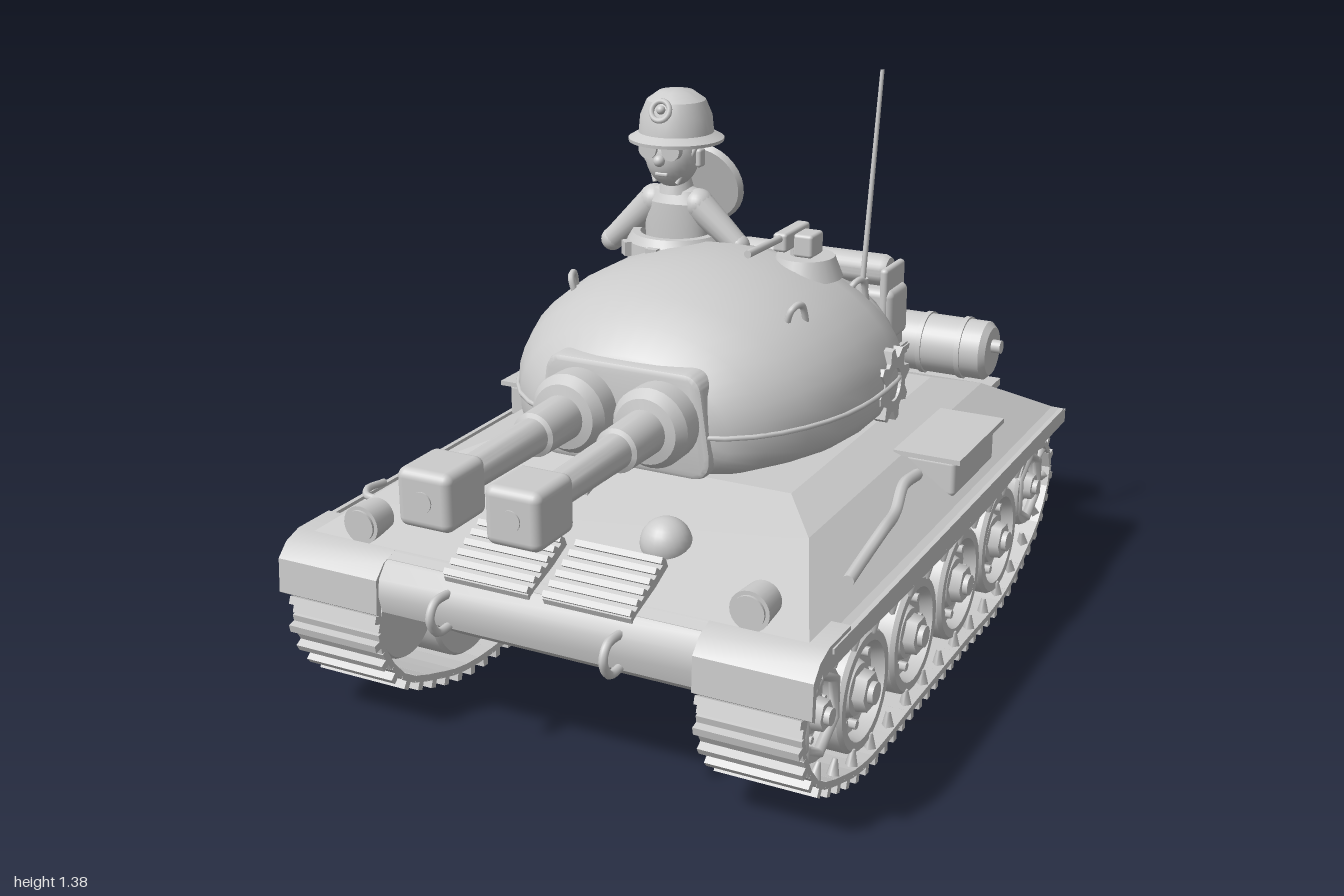
import * as THREE from 'three';
import { toCreasedNormals } from 'three/addons/utils/BufferGeometryUtils.js';
import { RoundedBoxGeometry } from 'three/addons/geometries/RoundedBoxGeometry.js';

const grey = new THREE.MeshStandardMaterial({ color: 0xcccccc, side: THREE.DoubleSide });
grey.name = 'plain grey';
const V = (x, y, z) => new THREE.Vector3(x, y, z);

function add(parent, name, geo, pos = [0, 0, 0], rot = [0, 0, 0]) {
  const m = new THREE.Mesh(geo, grey);
  m.name = name;
  m.position.set(...pos);
  m.rotation.set(...rot);
  parent.add(m);
  return m;
}
const box = (w, h, d) => new THREE.BoxGeometry(w, h, d);
const rbox = (w, h, d, r) => new RoundedBoxGeometry(w, h, d, 3, r);
const cyl = (r1, r2, h, n = 24) => new THREE.CylinderGeometry(r1, r2, h, n);
const ball = (r) => new THREE.SphereGeometry(r, 24, 16);

// tapered rod between two points
function rod(parent, name, a, b, r1, r2 = r1) {
  const d = b.clone().sub(a);
  const m = add(parent, name, cyl(r2, r1, d.length(), 16));
  m.position.copy(a).addScaledVector(d, 0.5);
  m.quaternion.setFromUnitVectors(V(0, 1, 0), d.normalize());
  return m;
}
function tube(parent, name, pts, r, closed = false) {
  const c = new THREE.CatmullRomCurve3(pts.map((p) => V(...p)), closed);
  return add(parent, name, new THREE.TubeGeometry(c, 48, r, 8, closed));
}
// skin over rings of points, each ring counter-clockwise seen from the last one
function loft(rings, crease) {
  const n = rings[0].length, pos = rings.flat(2), idx = [], last = (rings.length - 1) * n;
  for (let i = 0; i < rings.length - 1; i++) for (let j = 0; j < n; j++) {
    const a = i * n + j, b = i * n + (j + 1) % n;
    idx.push(a, b, b + n, a, b + n, a + n);
  }
  for (let j = 1; j < n - 1; j++) idx.push(0, j + 1, j, last, last + j, last + j + 1);
  const g = new THREE.BufferGeometry();
  g.setAttribute('position', new THREE.Float32BufferAttribute(pos, 3));
  g.setIndex(idx);
  return toCreasedNormals(g, crease);
}
// side profile of [z, y] points, extruded from x0 to x1
function sideExtrude(pts, x0, x1) {
  const s = new THREE.Shape(pts.map(([z, y]) => new THREE.Vector2(-z, y)));
  const g = new THREE.ExtrudeGeometry(s, { depth: x1 - x0, bevelEnabled: false });
  return toCreasedNormals(g.rotateY(Math.PI / 2).translate(x0, 0, 0), 0.6);
}
const lathe = (pts) => toCreasedNormals(
  new THREE.LatheGeometry(pts.map((p) => new THREE.Vector2(...p)), 32), 0.5);

function buildHull(g) {
  const levels = [[0.39, 0.65, -0.885, 0.74], [0.425, 0.65, -0.885, 0.74], [0.435, 0.62, -0.86, 0.74],
    [0.535, 0.48, -0.68, 0.43], [0.57, 0.38, -0.57, 0.3]];
  add(g, 'upperHull', loft(levels.map(([y, x, r, f]) => [[x, y, f], [x, y, r], [-x, y, r], [-x, y, f]]), 0.2));
  add(g, 'lowerHull', sideExtrude([[0.74, 0.4], [0.74, 0.31], [0.5, 0.15], [-0.62, 0.15], [-0.86, 0.34], [-0.86, 0.4]], -0.37, 0.37));
  add(g, 'nose', sideExtrude([[0.6, 0.45], [0.71, 0.445], [0.75, 0.43], [0.775, 0.4], [0.78, 0.36], [0.77, 0.32], [0.74, 0.31], [0.6, 0.33]], -0.385, 0.385));
  for (const s of [-1, 1]) {
    const x0 = s > 0 ? 0.385 : -0.65;
    add(g, 'frontMudguard', sideExtrude([[0.6, 0.445], [0.71, 0.445], [0.755, 0.43], [0.785, 0.4], [0.79, 0.32],
      [0.775, 0.31], [0.77, 0.38], [0.74, 0.4], [0.6, 0.4]], x0, x0 + 0.265));
    add(g, 'fenderRim', box(0.012, 0.012, 1.55), [s * 0.648, 0.43, -0.08]);
    // headlights, tow hooks
    add(g, 'headlight', cyl(0.045, 0.04, 0.07), [s * 0.475, 0.485, 0.675], [Math.PI / 2, 0, 0]);
    add(g, 'headlightGlass', cyl(0.036, 0.036, 0.008), [s * 0.475, 0.485, 0.712], [Math.PI / 2, 0, 0]);
    add(g, 'headlightFoot', box(0.03, 0.05, 0.03), [s * 0.475, 0.445, 0.67]);
    tube(g, 'towHook', [[s * 0.21, 0.4, 0.76], [s * 0.21, 0.4, 0.82], [s * 0.21, 0.37, 0.838], [s * 0.21, 0.33, 0.815], [s * 0.21, 0.325, 0.76]], 0.01);
    // fender stowage box with a lid
    add(g, 'stowageBox', rbox(0.15, 0.09, 0.28, 0.012), [s * 0.535, 0.49, -0.26]);
    add(g, 'stowageLid', box(0.165, 0.012, 0.32), [s * 0.543, 0.54, -0.265]);
    // slatted grille on the front slope
    const grille = new THREE.Group();
    grille.name = 'grille';
    grille.position.set(s * 0.123 + 0.005, 0.462, 0.68);
    grille.rotation.x = 0.42;
    add(grille, 'grilleFrame', box(0.21, 0.02, 0.17));
    for (let i = 0; i < 6; i++) add(grille, 'grilleSlat', box(0.21, 0.02, 0.014), [0, 0.014, -0.075 + i * 0.03], [0.5, 0, 0]);
    g.add(grille);
    // fuel drums on the rear bracket
    const cx = s * 0.245;
    const drum = [[0, -0.185], [0.065, -0.185], [0.08, -0.17], [0.08, 0.17], [0.065, 0.185], [0, 0.185]];
    add(g, 'fuelDrum', lathe(drum), [cx, 0.545, -0.915], [0, 0, Math.PI / 2]);
    for (const o of [-0.11, 0, 0.11]) add(g, 'drumBand', cyl(0.085, 0.085, 0.014, 32), [cx + o, 0.545, -0.915], [0, 0, Math.PI / 2]);
    add(g, 'drumCap', cyl(0.018, 0.018, 0.03), [s * 0.44, 0.56, -0.915], [0, 0, Math.PI / 2]);
    rod(g, 'exhaust', V(s * 0.26, 0.45, -0.8), V(s * 0.26, 0.39, -0.95), 0.025);
  }
  add(g, 'rearBracket', box(0.9, 0.02, 0.13), [0, 0.455, -0.87]);
  add(g, 'visorPlate', box(0.2, 0.02, 0.03), [-0.155, 0.542, 0.42]);
  add(g, 'hatchBar', box(0.08, 0.02, 0.03), [-0.18, 0.51, 0.55]);
  add(g, 'slopeDome', ball(0.057), [0.19, 0.505, 0.525]);
  tube(g, 'towCable', [[0.535, 0.51, -0.07], [0.535, 0.515, 0.02], [0.555, 0.49, 0.12], [0.575, 0.5, 0.24], [0.575, 0.48, 0.34], [0.58, 0.465, 0.45]], 0.014);
  tube(g, 'sideHook', [[-0.6, 0.47, 0.45], [-0.595, 0.48, 0.52], [-0.57, 0.48, 0.555], [-0.545, 0.48, 0.56]], 0.009);
}

function buildRunningGear(g, s) {
  const x = s * 0.508, turn = [0, 0, -s * Math.PI / 2];
  // dished road wheels, then the idler and the drive wheel
  const wheels = [[0.4, 0.19, 0.14], [0.1, 0.19, 0.14], [-0.205, 0.19, 0.14], [-0.495, 0.19, 0.14], [0.645, 0.255, 0.105], [-0.735, 0.25, 0.105]];
  wheels.forEach(([z, y, r], i) => {
    const w = new THREE.Group();
    w.name = i < 4 ? 'roadWheel' : i === 4 ? 'idlerWheel' : 'driveWheel';
    w.position.set(x, y, z);
    w.rotation.set(...turn);
    add(w, 'wheelBody', lathe([[0, -0.1], [r * 0.95, -0.1], [r, -0.09], [r, 0.09], [r * 0.95, 0.1], [r * 0.8, 0.1], [r * 0.74, 0.07], [r * 0.5, 0.06], [r * 0.42, 0.085], [0, 0.09]]));
    add(w, 'hubNut', cyl(r * 0.32, r * 0.35, 0.035, 6).toNonIndexed(), [0, 0.095, 0]);
    add(w, 'hubCap', cyl(r * 0.18, r * 0.18, 0.02), [0, 0.115, 0]);
    for (let k = 0; k < 8; k++) {
      const a = k * Math.PI / 4;
      add(w, 'wheelBolt', cyl(r * 0.08, r * 0.08, 0.02, 6), [Math.cos(a) * r * 0.62, 0.072, Math.sin(a) * r * 0.62]);
    }
    if (i > 3) add(w, 'hexRim', new THREE.TorusGeometry(r * 0.86, r * 0.12, 6, 6), [0, 0.095, 0], [Math.PI / 2, 0, 0]);
    g.add(w);
  });
  // track links along a closed path
  const path = new THREE.CatmullRomCurve3([[0.42, 0.03], [0.1, 0.03], [-0.2, 0.03], [-0.5, 0.03], [-0.66, 0.075], [-0.79, 0.14], [-0.86, 0.25], [-0.82, 0.335],
    [-0.72, 0.362], [-0.4, 0.35], [0, 0.35], [0.4, 0.36], [0.64, 0.375], [0.73, 0.345], [0.77, 0.255], [0.7, 0.13], [0.55, 0.06]].map(([z, y]) => V(0, y, z)), true);
  const n = 66;
  path.arcLengthDivisions = 600;
  for (let i = 0; i < n; i++) {
    const p = path.getPointAt(i / n), t = path.getTangentAt(i / n);
    const link = new THREE.Group();
    link.name = 'trackLink';
    link.position.set(x, p.y, p.z);
    link.rotation.x = Math.atan2(-t.y, t.z);
    add(link, 'trackPad', box(0.235, 0.016, i % 2 ? 0.058 : 0.05));
    // local +y points out of the loop
    add(link, 'grouser', box(0.235, 0.022, 0.018), [0, 0.016, 0]);
    if (i % 2) add(link, 'guideTooth', new THREE.CylinderGeometry(0.016, 0.006, 0.04, 4), [s * 0.1, -0.024, 0]);
    g.add(link);
  }
}

function buildTurret(g) {
  // sections from rear to front: z, half width, bottom, top
  const sections = [[-0.64, 0.14, 0.66, 0.745], [-0.62, 0.2, 0.63, 0.785], [-0.57, 0.25, 0.61, 0.82], [-0.48, 0.31, 0.58, 0.838], [-0.4, 0.355, 0.565, 0.845],
    [-0.33, 0.39, 0.56, 0.895], [-0.26, 0.42, 0.56, 0.95], [-0.18, 0.435, 0.56, 0.972], [-0.02, 0.435, 0.56, 0.975], [0.1, 0.415, 0.56, 0.968],
    [0.2, 0.375, 0.565, 0.94], [0.29, 0.315, 0.57, 0.895], [0.345, 0.25, 0.585, 0.84], [0.37, 0.19, 0.62, 0.79]];
  const mid = 0.69, pw = (v, e) => Math.sign(v) * Math.abs(v) ** e;
  add(g, 'turretShell', loft(sections.map(([z, w, b, t]) => Array.from({ length: 40 }, (_, j) => {
    const a = j * Math.PI / 20, c = Math.cos(a), q = Math.sin(a);
    return q >= 0 ? [w * c, mid + (t - mid) * q, z] : [w * pw(c, 0.6), mid + (mid - b) * pw(q, 0.6), z];
  })), 0.7));
  const edge = sections.map(([z, w]) => [w, mid, z]);
  tube(g, 'castingSeam', [...edge, ...edge.map(([x, y, z]) => [-x, y, z]).reverse()], 0.006, true);
  add(g, 'turretRing', cyl(0.33, 0.33, 0.04, 40), [0, 0.565, -0.05]);
  // gun shield and twin guns
  const sh = new THREE.Shape();
  sh.moveTo(-0.17, 0.6).lineTo(0.17, 0.6).quadraticCurveTo(0.21, 0.6, 0.205, 0.65).lineTo(0.185, 0.79).quadraticCurveTo(0.18, 0.82, 0.15, 0.82)
    .lineTo(-0.15, 0.82).quadraticCurveTo(-0.18, 0.82, -0.185, 0.79).lineTo(-0.205, 0.65).quadraticCurveTo(-0.21, 0.6, -0.17, 0.6);
  add(g, 'gunShield', toCreasedNormals(new THREE.ExtrudeGeometry(sh, { depth: 0.14, bevelSize: 0.012, bevelThickness: 0.015, bevelSegments: 2 }), 0.7), [0, 0, 0.22]);
  for (const s of [-1, 1]) {
    add(g, 'gunBarrel', lathe([[0, 0.3], [0.09, 0.3], [0.092, 0.43], [0.075, 0.455], [0.052, 0.46], [0.05, 0.58], [0.04, 0.585], [0.036, 0.87], [0, 0.87]]), [s * 0.102, 0.718, 0], [Math.PI / 2, 0, 0]);
    add(g, 'muzzleBrake', rbox(0.127, 0.125, 0.14, 0.02), [s * 0.102, 0.718, 0.925]);
    add(g, 'muzzleBore', cyl(0.022, 0.022, 0.004), [s * 0.102, 0.718, 0.996], [Math.PI / 2, 0, 0]);
    // gear-shaped side plate
    const gear = new THREE.Shape(), teeth = 8;
    for (let k = 0; k < teeth * 4; k++) {
      const a = (k + 0.5) * Math.PI * 2 / (teeth * 4), r = k % 4 < 2 ? 0.092 : 0.066;
      gear[k ? 'lineTo' : 'moveTo'](r * Math.cos(a), r * Math.sin(a));
    }
    gear.holes.push(new THREE.Path().absarc(0, 0, 0.04, 0, Math.PI * 2, true));
    add(g, 'gearPlate', new THREE.ExtrudeGeometry(gear, { depth: 0.03, bevelEnabled: false }), [s * 0.407, 0.685, -0.165], [0, s * Math.PI / 2, 0]);
    for (const [z, y] of [[0.07, 0.89], [-0.29, 0.855]])
      tube(g, 'liftingHook', [[s * 0.27, y - 0.02, z + 0.03], [s * 0.285, y + 0.03, z + 0.03], [s * 0.295, y + 0.035, z], [s * 0.3, y - 0.03, z - 0.025]], 0.008);
  }
  // second hatch with a machine gun
  add(g, 'gunnerHatch', cyl(0.07, 0.09, 0.05), [0.19, 0.94, -0.19]);
  rod(g, 'gunPost', V(0.175, 0.94, -0.18), V(0.175, 1.035, -0.18), 0.018);
  add(g, 'machineGunBody', rbox(0.035, 0.045, 0.14, 0.008), [0.175, 1.02, -0.14]);
  rod(g, 'machineGunBarrel', V(0.175, 1.03, -0.08), V(0.175, 1.035, 0.1), 0.009);
  add(g, 'ammoBox', rbox(0.05, 0.055, 0.07, 0.008), [0.213, 1.005, -0.15]);
  // aerial
  rod(g, 'aerialBase', V(0.262, 0.77, -0.37), V(0.264, 0.87, -0.372), 0.018, 0.014);
  rod(g, 'aerial', V(0.264, 0.86, -0.372), V(0.278, 1.375, -0.425), 0.007, 0.005);
  // rear rack with luggage and a bedroll
  add(g, 'rackFloor', box(0.5, 0.014, 0.29), [0, 0.582, -0.61]);
  for (let i = 0; i < 6; i++) add(g, 'rackBar', box(0.012, 0.03, 0.2), [-0.24 + i * 0.096, 0.58, -0.65]);
  for (const s of [-1, 0, 1]) add(g, 'luggage', rbox(0.16, 0.14, 0.125, 0.02), [s * 0.165, 0.692, -0.69]);
  add(g, 'bedroll', lathe([[0, -0.215], [0.035, -0.215], [0.042, -0.2], [0.042, 0.2], [0.035, 0.215], [0, 0.215]]), [0, 0.802, -0.685], [0, 0, Math.PI / 2]);
  for (const s of [-1, 1]) add(g, 'luggageStrap', rbox(0.022, 0.24, 0.132, 0.01), [s * 0.22, 0.7, -0.69]);
}

function buildCrew(g) {
  const x = -0.173, z = -0.225;
  add(g, 'cupola', lathe([[0.085, 0.86], [0.125, 0.86], [0.122, 0.955], [0.11, 0.975], [0.09, 0.975], [0.085, 0.86]]), [x, 0, z]);
  for (let i = 0; i < 8; i++) {
    const a = i * Math.PI / 4;
    add(g, 'visionBlock', box(0.03, 0.035, 0.04), [x + 0.118 * Math.sin(a), 0.94, z + 0.118 * Math.cos(a)], [0, a, 0]);
  }
  add(g, 'hatchLid', lathe([[0, -0.012], [0.1, -0.012], [0.11, 0], [0.08, 0.018], [0, 0.028]]), [x, 1.065, -0.375], [-1.28, 0, 0]);
  // body, arms, neck
  add(g, 'torso', lathe([[0, 0.9], [0.08, 0.9], [0.085, 1], [0.082, 1.05], [0.06, 1.08], [0.035, 1.09], [0, 1.09]]), [x, 0, z]).scale.z = 0.58;
  for (const s of [-1, 1]) {
    const sh = V(x + s * 0.06, 1.045, z), hand = s < 0 ? V(-0.355, 0.93, z) : V(-0.005, 0.955, z);
    add(g, 'shoulder', ball(0.04), sh.toArray());
    rod(g, 'sleeve', sh, hand, 0.04, 0.028);
    add(g, 'glove', ball(0.029), hand.toArray());
    add(g, 'gogglesLens', cyl(0.024, 0.024, 0.02), [x + s * 0.031, 1.192, -0.142], [Math.PI / 2, 0, 0]);
    add(g, 'ear', rbox(0.016, 0.045, 0.03, 0.007), [x + s * 0.07, 1.165, -0.215]);
    rod(g, 'chinStrap', V(x + s * 0.074, 1.21, -0.2), V(x + s * 0.03, 1.105, -0.17), 0.006);
  }
  add(g, 'collar', cyl(0.036, 0.045, 0.035), [x, 1.09, z]);
  add(g, 'head', ball(1), [x, 1.168, -0.205]).scale.set(0.066, 0.078, 0.068);
  add(g, 'nose', ball(0.014), [x, 1.165, -0.135]);
  add(g, 'mouth', rbox(0.035, 0.01, 0.012, 0.004), [x, 1.13, -0.148]);
  // helmet with brim and ring badge
  add(g, 'helmet', lathe([[0.085, 1.205], [0.116, 1.2], [0.117, 1.208], [0.092, 1.222], [0.088, 1.262], [0.072, 1.3], [0.042, 1.321], [0, 1.327]]), [x, 0, z]);
  add(g, 'badgeRing', new THREE.TorusGeometry(0.024, 0.007, 8, 24), [x, 1.285, -0.143], [-0.4, 0, 0]);
  add(g, 'badgeStud', ball(0.011), [x, 1.287, -0.145]);
}

export function createModel() {
  const model = new THREE.Group();
  model.name = 'tank';
  const part = (name, build, arg) => {
    const g = new THREE.Group();
    g.name = name;
    build(g, arg);
    model.add(g);
  };
  part('hull', buildHull);
  part('leftRunningGear', buildRunningGear, 1);
  part('rightRunningGear', buildRunningGear, -1);
  part('turret', buildTurret);
  part('crewMember', buildCrew);
  return model;
}
